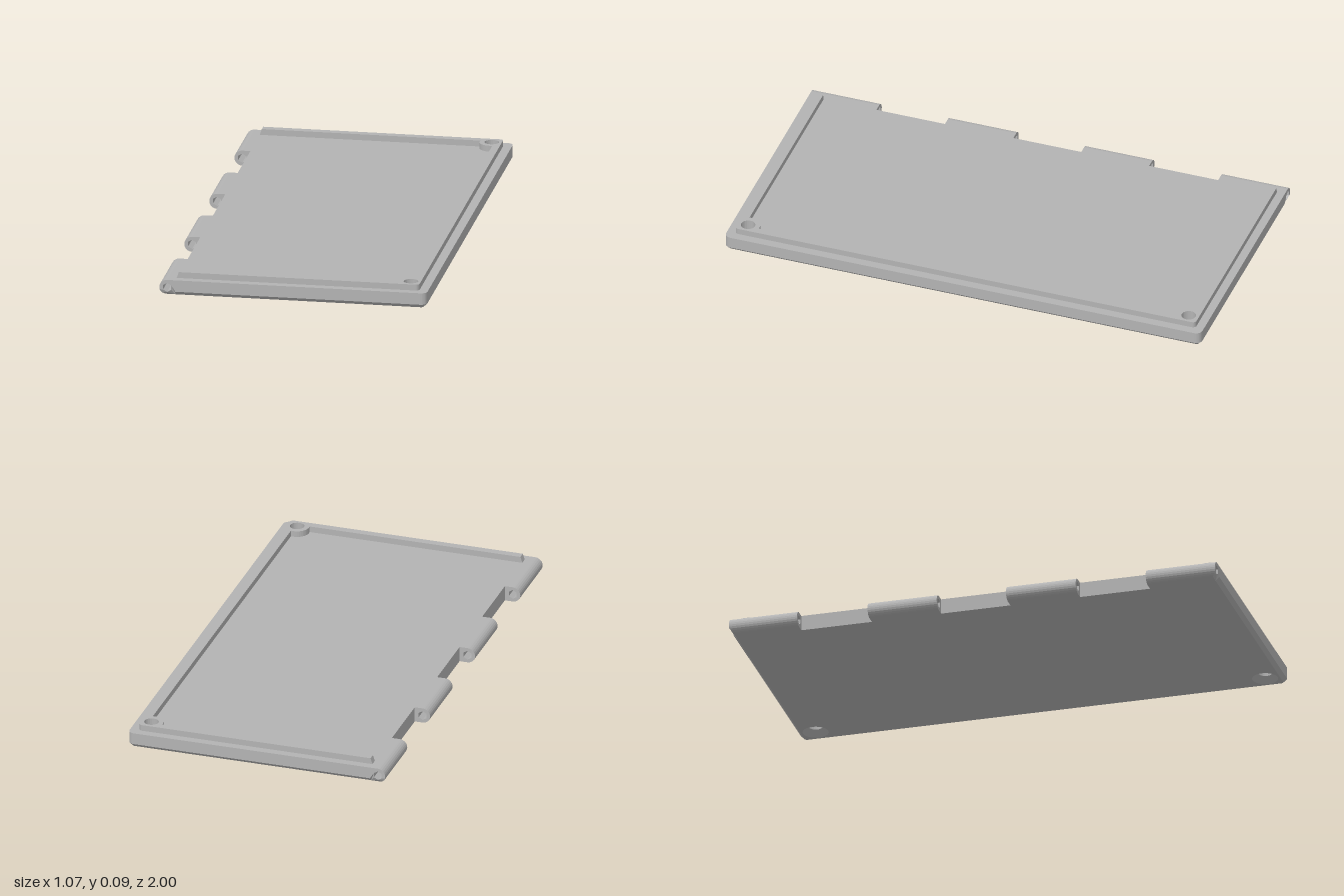
import * as THREE from 'three';

const TOP = 0.0625, LIP_TOP = 0.087, BEVEL = 0.015;
const LEFT = -0.475, RIGHT = 0.535;
const HOLE = { x: 0.46, z: 0.925, r: 0.029, sinkR: 0.052, sinkY: 0.025 };

const grey = new THREE.MeshStandardMaterial({ color: 0xb3b3b3 });
grey.name = 'plain grey';

function arc(cx, cy, r, from, to, n) {
  return Array.from({ length: n + 1 }, (_, i) => {
    const a = THREE.MathUtils.degToRad(from + ((to - from) * i) / n);
    return new THREE.Vector2(cx + r * Math.cos(a), cy + r * Math.sin(a));
  });
}

// Mirror a half outline across the long centre line to close it
const mirrored = (pts) => [...pts, ...pts.map((p) => new THREE.Vector2(p.x, -p.y)).reverse()];

function addMesh(group, name, geometry) {
  const flat = geometry.index ? geometry.toNonIndexed() : geometry;
  flat.computeVertexNormals();
  const mesh = new THREE.Mesh(flat, grey);
  mesh.name = name;
  group.add(mesh);
}

// Plate outline (x, z) with rounded right corners, pulled in by an inset
function outline(inset) {
  const r = 0.025;
  return mirrored([
    new THREE.Vector2(LEFT, 1 - inset),
    ...arc(RIGHT - r, 1 - r, r - inset, 90, 0, 6),
  ]);
}

function plateSides() {
  const rings = [[0, BEVEL], [BEVEL, 0], [TOP, 0]].map(([y, inset]) =>
    outline(inset).map((p) => new THREE.Vector3(p.x, y, p.y)));
  const pts = [];
  for (let k = 0; k < 2; k++) {
    const low = rings[k], up = rings[k + 1];
    low.forEach((a, i) => {
      const j = (i + 1) % low.length;
      pts.push(a, low[j], up[j], a, up[j], up[i]);
    });
  }
  return new THREE.BufferGeometry().setFromPoints(pts);
}

function punch(shape, r) {
  for (const s of [-1, 1]) {
    shape.holes.push(new THREE.Path(arc(HOLE.x, s * HOLE.z, r, 0, 360, 24).slice(0, -1)));
  }
  return shape;
}

// Hinge knuckle: rounded outer edge with a six-sided pin hole
function knuckle(z0, z1) {
  const r = TOP / 2, cx = -0.508;
  const shape = new THREE.Shape([
    new THREE.Vector2(LEFT, 0),
    new THREE.Vector2(LEFT, BEVEL),
    new THREE.Vector2(LEFT, TOP),
    ...arc(cx, r, r, 90, 270, 12),
  ]);
  shape.holes.push(new THREE.Path(arc(cx, r, 0.019, 30, 330, 5)));
  const geo = new THREE.ExtrudeGeometry(shape, { depth: z1 - z0, bevelEnabled: false });
  geo.translate(0, 0, z0);
  // Carry the bottom bevel of the plate across the outer ends
  const p = geo.attributes.position;
  for (let i = 0; i < p.count; i++) {
    const z = p.getZ(i);
    if (Math.abs(z) > 0.999) p.setZ(i, z - Math.sign(z) * Math.max(0, BEVEL - p.getY(i)));
  }
  return geo;
}

// Raised U-shaped lip that swells around the two screw holes
function lip() {
  const outer = [
    new THREE.Vector2(LEFT, 0.967),
    ...arc(0.485, 0.952, 0.015, 90, 0, 5),
  ];
  const inner = [
    ...arc(HOLE.x, HOLE.z, 0.049, -78, -193, 12),
    new THREE.Vector2(LEFT, 0.936),
  ];
  const flip = (list) => list.map((p) => new THREE.Vector2(p.x, -p.y)).reverse();
  const shape = punch(new THREE.Shape([...outer, ...flip(outer), ...flip(inner), ...inner]), HOLE.r);
  const geo = new THREE.ExtrudeGeometry(shape, { depth: LIP_TOP - TOP, bevelEnabled: false });
  geo.rotateX(-Math.PI / 2).translate(0, TOP, 0);
  // Ease the top of the open ends
  const p = geo.attributes.position;
  for (let i = 0; i < p.count; i++) {
    if (p.getX(i) < LEFT + 0.001 && p.getY(i) > LIP_TOP - 0.001) p.setX(i, LEFT + 0.008);
  }
  return geo;
}

export function createModel() {
  const model = new THREE.Group();
  model.name = 'hingedLid';

  // Plate
  addMesh(model, 'plateSides', plateSides());
  const topFace = new THREE.ShapeGeometry(punch(new THREE.Shape(outline(0)), HOLE.r));
  addMesh(model, 'plateTop', topFace.rotateX(-Math.PI / 2).translate(0, TOP, 0));
  const bottomFace = new THREE.ShapeGeometry(punch(new THREE.Shape(outline(BEVEL)), HOLE.sinkR));
  addMesh(model, 'plateBottom', bottomFace.rotateX(Math.PI / 2));

  addMesh(model, 'lip', lip());

  // Countersunk screw holes
  const bore = [[HOLE.r, LIP_TOP], [HOLE.r, HOLE.sinkY], [HOLE.sinkR, 0]]
    .map(([x, y]) => new THREE.Vector2(x, y));
  for (const s of [-1, 1]) {
    addMesh(model, 'screwHole', new THREE.LatheGeometry(bore, 24).translate(HOLE.x, 0, s * HOLE.z));
  }

  // Hinge knuckles
  for (const [z0, z1] of [[-1, -0.72], [-0.43, -0.145], [0.14, 0.427], [0.715, 1]]) {
    addMesh(model, 'hingeKnuckle', knuckle(z0, z1));
  }
  return model;
}
